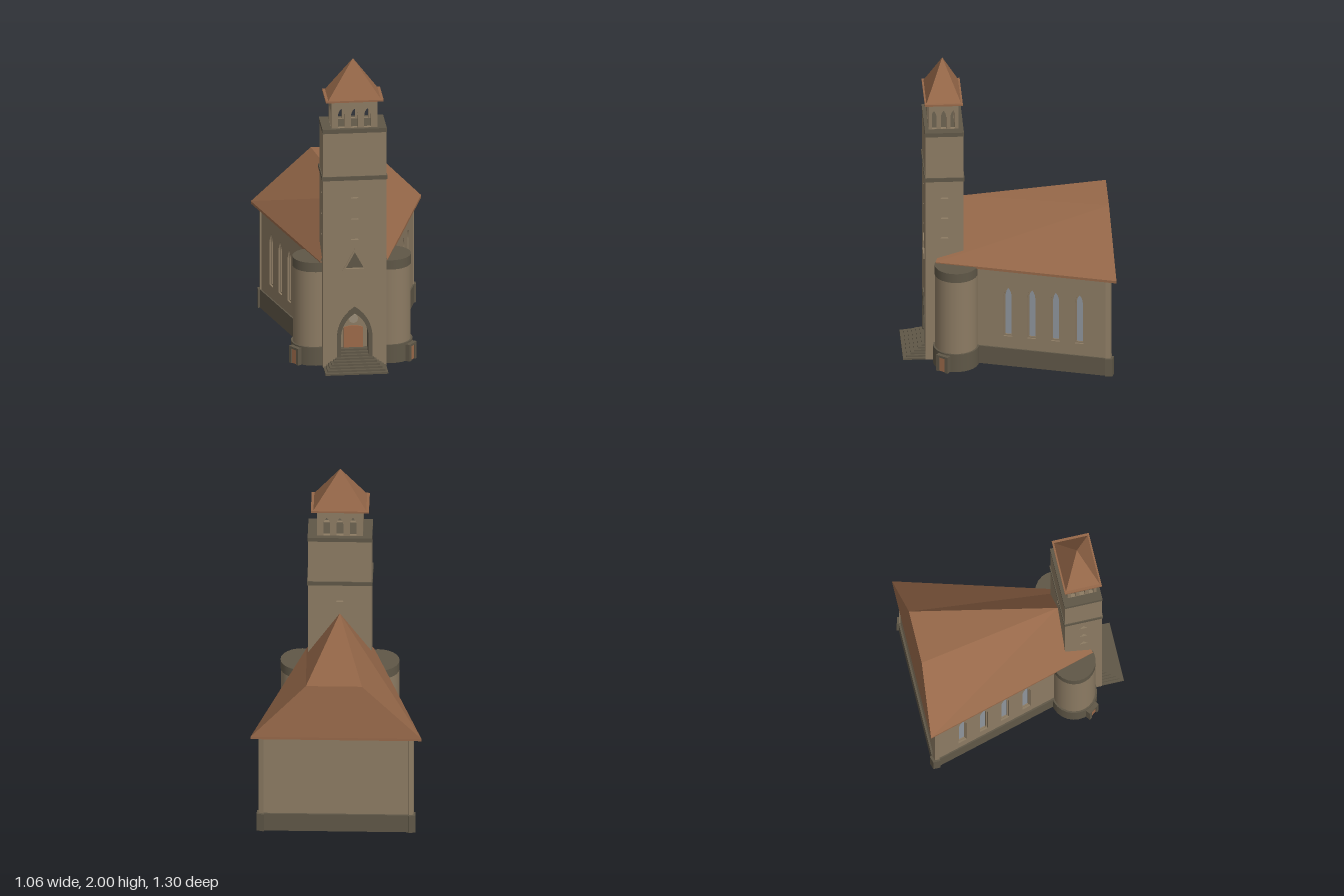
import * as THREE from 'three';

const mat = (name, color, side = THREE.FrontSide) => {
  const m = new THREE.MeshStandardMaterial({ color, side });
  m.name = name;
  return m;
};

export function createModel() {
  const wall = mat('wall stone', 0x8c7b63);
  const dark = mat('dark stone', 0x5f5747);
  const tile = mat('roof tile', 0x966849);
  const wood = mat('door wood', 0x9c6a4a);
  const glass = mat('window glass', 0x8e949c, THREE.DoubleSide);
  const pale = mat('pale stone', 0x9a8d78);

  const root = new THREE.Group();
  root.name = 'church';
  const add = (name, geo, material, x = 0, y = 0, z = 0, ry = 0, parent = root) => {
    const m = new THREE.Mesh(geo, material);
    m.name = name;
    m.position.set(x, y, z);
    m.rotation.y = ry;
    parent.add(m);
    return m;
  };
  // box given by its limits
  const block = (name, material, x0, x1, y0, y1, z0, z1) =>
    add(name, new THREE.BoxGeometry(x1 - x0, y1 - y0, z1 - z0), material,
      (x0 + x1) / 2, (y0 + y1) / 2, (z0 + z1) / 2);

  // outlines
  const arch = (C, cx, w, y0, spring, top) => {
    const s = new C(), h = w / 2, k = spring + (top - spring) * 0.65;
    s.moveTo(cx - h, y0);
    s.lineTo(cx + h, y0);
    s.lineTo(cx + h, spring);
    s.quadraticCurveTo(cx + h * 0.9, k, cx, top);
    s.quadraticCurveTo(cx - h * 0.9, k, cx - h, spring);
    s.closePath();
    return s;
  };
  const poly = (C, pts) => {
    const s = new C();
    pts.forEach(([x, y], i) => (i ? s.lineTo(x, y) : s.moveTo(x, y)));
    s.closePath();
    return s;
  };
  const tri = (C, cx, y, w, h) => poly(C, [[cx - w / 2, y], [cx + w / 2, y], [cx, y + h]]);
  const extrude = (shape, depth) =>
    new THREE.ExtrudeGeometry(shape, { depth, bevelEnabled: false, curveSegments: 6 });

  // wall from p to q ([x, z], left to right seen from outside), growing inward
  const panel = (name, material, p, q, y0, y1, depth, holes = []) => {
    const dx = q[0] - p[0], dz = q[1] - p[1], L = Math.hypot(dx, dz);
    const g = new THREE.Group();
    g.name = name;
    g.position.set(p[0], 0, p[1]);
    g.rotation.y = Math.atan2(-dz, dx);
    root.add(g);
    const s = poly(THREE.Shape, [[0, y0], [L, y0], [L, y1], [0, y1]]);
    s.holes.push(...holes);
    add(name + 'Face', extrude(s, depth), material, 0, 0, -depth, 0, g);
    return g;
  };

  // nave: tapering hollow walls with lancet windows on a plinth
  const back = -0.62, front = 0.3, wb = 0.48, wf = 0.215, o = 0.012;
  const L = Math.hypot(front - back, wb - wf), stretch = L / (front - back);
  for (const s of [1, -1]) {
    const ends = (e) => {
      const a = [s * (wf + e), front], b = [s * (wb + e), back - e];
      return s > 0 ? [a, b] : [b, a];
    };
    const us = [0.005, -0.14, -0.285, -0.43].map((z) => {
      const u = (front - z) * stretch;
      return s > 0 ? u : L - u;
    });
    const holes = us.map((u) => arch(THREE.Path, u, 0.056, 0.2, 0.48, 0.545));
    const g = panel('naveSideWall', wall, ...ends(0), 0.1, 0.68, 0.03, holes);
    for (const u of us) {
      const ring = arch(THREE.Shape, u, 0.056, 0.2, 0.48, 0.545);
      ring.holes.push(arch(THREE.Path, u, 0.04, 0.21, 0.475, 0.53));
      add('windowFrame', extrude(ring, 0.012), wall, 0, 0, -0.024, 0, g);
      add('windowPane', new THREE.ShapeGeometry(arch(THREE.Shape, u, 0.05, 0.2, 0.48, 0.54)),
        glass, 0, 0, -0.02, 0, g);
    }
    panel('naveSidePlinth', dark, ...ends(o), 0, 0.12, 0.045);
  }
  panel('naveBackWall', wall, [wb, back], [-wb, back], 0.1, 0.68, 0.03);
  panel('naveBackPlinth', dark, [wb + o, back - o], [-wb - o, back - o], 0, 0.12, 0.045);

  // roof: two long slopes, steep back hip and a wedge-shaped flat top
  const V = (x, y, z) => [x, y, z];
  const eave = [V(0.53, 0.682, -0.655), V(-0.53, 0.682, -0.655), V(-0.21, 0.682, 0.45), V(0.21, 0.682, 0.45)];
  const low = eave.map(([x, y, z]) => V(x, y - 0.016, z));
  const bl = V(-0.16, 1.035, -0.628), br = V(0.187, 1.035, -0.628), tip = V(0, 1.035, 0.275);
  const faces = [[bl, tip, br], [eave[3], eave[0], br, tip], [eave[1], eave[2], tip, bl],
    [eave[0], eave[1], bl, br], [...low].reverse()];
  for (let i = 0; i < 4; i++) {
    const j = (i + 1) % 4;
    faces.push([low[i], low[j], eave[j], eave[i]]);
  }
  const pos = [];
  for (const f of faces)
    for (let i = 1; i < f.length - 1; i++) pos.push(...f[0], ...f[i], ...f[i + 1]);
  const roof = new THREE.BufferGeometry();
  roof.setAttribute('position', new THREE.Float32BufferAttribute(pos, 3));
  roof.computeVertexNormals();
  add('naveRoof', roof, tile);

  // round stair turrets with plinth, top band and small slanted door
  for (const s of [1, -1]) {
    const cx = 0.235 * s, cz = 0.323;
    const drum = (name, m, r, y0, y1) =>
      add(name, new THREE.CylinderGeometry(r, r, y1 - y0, 24), m, cx, (y0 + y1) / 2, cz);
    drum('turretPlinth', dark, 0.143, 0, 0.12);
    drum('turretWall', wall, 0.132, 0.12, 0.615);
    drum('turretBand', dark, 0.134, 0.615, 0.676);
    const door = new THREE.Group();
    door.name = 'turretDoor';
    door.position.set(cx + 0.118 * s, 0, cz + 0.082);
    door.rotation.y = Math.atan2(0.8 * s, 0.6);
    root.add(door);
    for (const k of [-1, 1])
      add('doorJamb', new THREE.BoxGeometry(0.02, 0.11, 0.05), dark, 0.032 * k, 0.055, 0, 0, door);
    add('doorLintel', new THREE.BoxGeometry(0.05, 0.014, 0.05), dark, 0, 0.103, 0, 0, door);
    add('doorLeaf', new THREE.BoxGeometry(0.046, 0.096, 0.008), wood, 0, 0.048, 0.012, 0, door);
  }

  // tower shaft: pierced outer walls around solid cores
  const tx = 0.197, z0 = 0.275, z1 = 0.51, top = 1.57;
  const slits = (u) => [0.84, 0.975, 1.115].map((y) => tri(THREE.Path, u, y, 0.05, 0.042));
  const w = 2 * tx, d = z1 - z0;
  const portalHole = poly(THREE.Path, [[tx - 0.1, 0.01], [tx + 0.1, 0.01], [tx + 0.1, 0.2],
    [tx + 0.06, 0.32], [tx, 0.38], [tx - 0.06, 0.32], [tx - 0.1, 0.2]]);
  panel('towerFront', wall, [-tx, z1], [tx, z1], 0, top, 0.03,
    [portalHole, tri(THREE.Path, tx, 0.645, 0.14, 0.13), ...slits(tx)]);
  panel('towerLeft', wall, [tx, z1], [tx, z0], 0, top, 0.03, slits(d / 2));
  panel('towerRight', wall, [-tx, z0], [-tx, z1], 0, top, 0.03, slits(d / 2));
  panel('towerBack', wall, [tx, z0], [-tx, z0], 0, top, 0.03, [slits(tx)[2]]);
  block('towerLowerCore', wall, -0.178, 0.178, 0.01, 0.5, 0.29, 0.42);
  block('towerUpperCore', wall, -0.178, 0.178, 0.5, 1.56, 0.294, 0.49);
  block('towerBelt', dark, -0.203, 0.203, 1.236, 1.262, z0 - 0.006, z1 + 0.006);
  block('towerCornice', dark, -0.2, 0.2, 1.547, 1.574, z0 - 0.003, z1 + 0.003);

  // triangular front window
  const triFrame = tri(THREE.Shape, 0, 0.638, 0.154, 0.145);
  triFrame.holes.push(tri(THREE.Path, 0, 0.65, 0.118, 0.11));
  add('triangleWindowFrame', extrude(triFrame, 0.03), wall, 0, 0, 0.485);
  add('triangleWindowPanel', new THREE.ShapeGeometry(tri(THREE.Shape, 0, 0.645, 0.14, 0.13)), dark, 0, 0, 0.493);

  // pointed portal with door and rosette
  const portal = arch(THREE.Shape, 0, 0.222, 0.005, 0.21, 0.4);
  portal.holes.push(arch(THREE.Path, 0, 0.172, 0.01, 0.21, 0.355));
  add('portalFrame', extrude(portal, 0.095), dark, 0, 0, 0.42);
  add('portalDoor', extrude(arch(THREE.Shape, 0, 0.12, 0.09, 0.23, 0.245), 0.008), wood, 0, 0, 0.421);
  const rosette = add('rosette', new THREE.CylinderGeometry(0.03, 0.03, 0.012, 8), pale, 0, 0.29, 0.425);
  rosette.rotation.x = Math.PI / 2;

  // front steps, the last ones running into the portal
  for (let i = 0; i < 9; i++) {
    const h = i < 6 ? 0.195 - 0.015 * i : 0.086, zf = 0.65 - 0.024 * i;
    block('step', dark, -h, h, 0.0112 * i, 0.0112 * (i + 1), i < 6 ? Math.min(0.505, zf) : 0.421, zf);
  }
  block('portalFloor', dark, -0.086, 0.086, 0, 0.068, 0.421, 0.506);

  // belfry: open arcades on all four sides
  const bx = 0.143, b0 = 0.303, b1 = 0.489, by = 1.755;
  const arcade = (len, gap, width) => [-1, 0, 1].map((k) =>
    arch(THREE.Path, len / 2 + k * gap, width, 1.576, 1.655, 1.7));
  const wide = arcade(2 * bx, 0.082, 0.042), narrow = arcade(b1 - b0, 0.06, 0.034);
  panel('belfryFront', wall, [-bx, b1], [bx, b1], 1.57, by, 0.022, wide);
  panel('belfryBack', wall, [bx, b0], [-bx, b0], 1.57, by, 0.022, wide);
  panel('belfryLeft', wall, [bx, b1], [bx, b0], 1.57, by, 0.022, narrow);
  panel('belfryRight', wall, [-bx, b0], [-bx, b1], 1.57, by, 0.022, narrow);

  // spire
  const cz = 0.396;
  block('spireEave', tile, -0.18, 0.18, 1.75, 1.762, 0.278, 0.514);
  const spire = new THREE.ConeGeometry(Math.SQRT1_2, 1, 4, 1).toNonIndexed();
  spire.rotateY(Math.PI / 4);
  spire.scale(0.33, 0.24, 0.216);
  spire.computeVertexNormals();
  add('spire', spire, tile, 0, 1.88, cz);

  return root;
}
